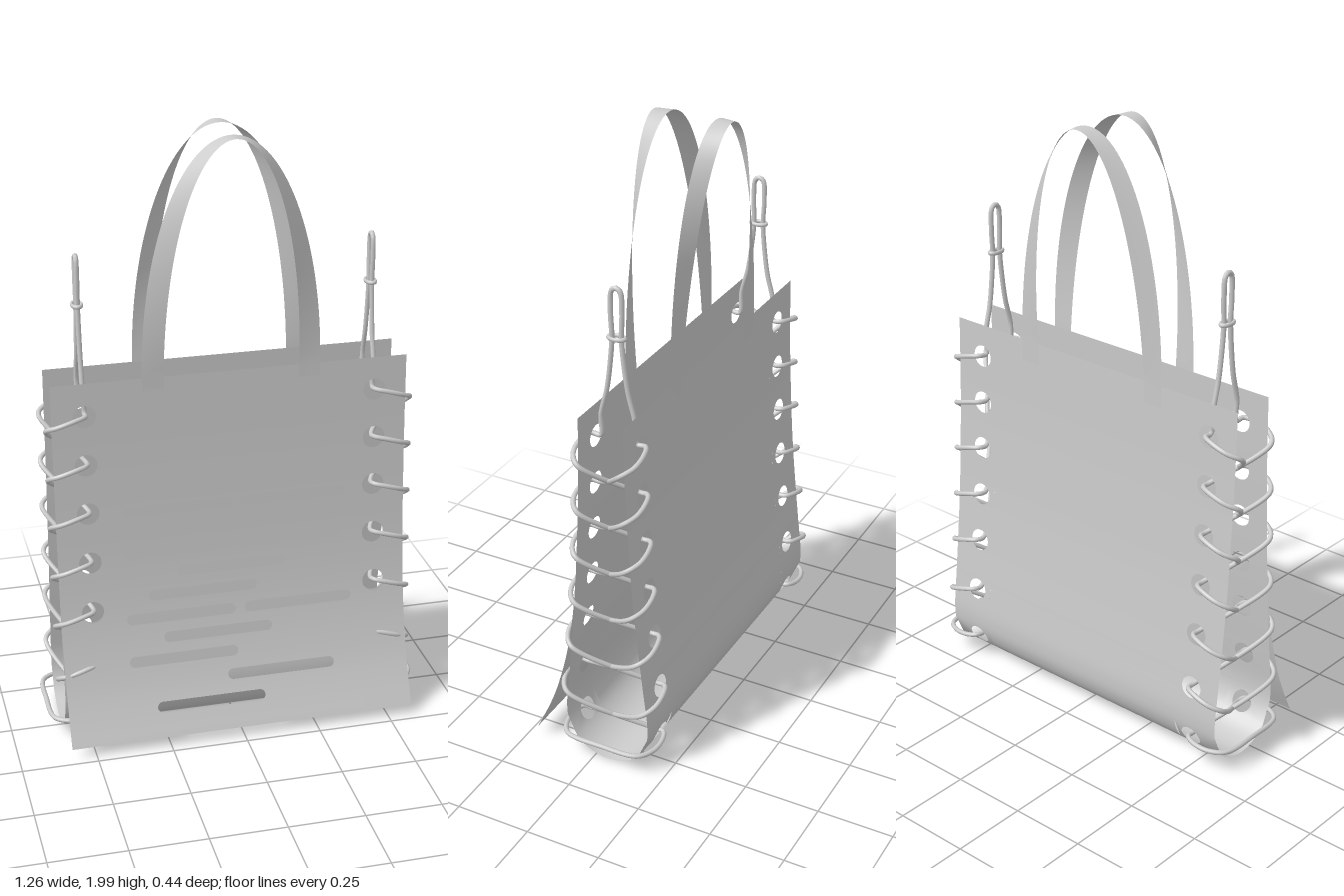
import * as THREE from 'three';
import { mergeGeometries } from 'three/addons/utils/BufferGeometryUtils.js';

const CZ = -0.045;          // z of the bag's middle plane
const HALF = 0.58;          // half width of the bag
const HOLE_X = 0.475, HOLE_R = 0.037, MARGIN = 0.415;
const LEVELS = [1.13, 0.965, 0.8, 0.63, 0.46, 0.275, 0.09];

const sheetMat = new THREE.MeshStandardMaterial({ color: 0xcccccc, side: THREE.DoubleSide });
const cordMat = new THREE.MeshStandardMaterial({ color: 0xcccccc });

function makeMesh(geometry, material, name) {
  const m = new THREE.Mesh(geometry, material);
  m.name = name;
  return m;
}

// Side profile through [y, z] points
function profile(points) {
  const c = new THREE.CatmullRomCurve3(points.map(([y, z]) => new THREE.Vector3(0, y, z)));
  c.arcLengthDivisions = 1000;
  return c;
}

// Distance along the descending front of a profile at height y
function lengthAtHeight(curve, y, uMax) {
  let a = 0, b = uMax;
  for (let i = 0; i < 30; i++) {
    const m = (a + b) / 2;
    if (curve.getPointAt(m).y > y) a = m; else b = m;
  }
  return a * curve.getLength();
}

// Rounded opening from xa to xb (a circle when xa equals xb)
function opening(xa, xb, s, r) {
  const p = new THREE.Path();
  p.absarc(xb, -s, r, -Math.PI / 2, Math.PI / 2, false);
  p.absarc(xa, -s, r, Math.PI / 2, Math.PI * 1.5, false);
  p.closePath();
  return p;
}

// Strip of sheet bent along a profile; rows = [{ s, r, spans: [[xa, xb], ...] }]
function strip(curve, x0, x1, rows) {
  const L = curve.getLength();
  const parts = [];
  const band = (a, b, holes) => {
    const shape = new THREE.Shape();
    shape.moveTo(x0, -b).lineTo(x1, -b).lineTo(x1, -a).lineTo(x0, -a).closePath();
    shape.holes.push(...holes);
    parts.push(new THREE.ShapeGeometry(shape, 10));
  };
  const plain = (a, b) => {
    const n = Math.max(1, Math.ceil((b - a) / 0.02));
    for (let i = 0; i < n; i++) band(a + (b - a) * i / n, a + (b - a) * (i + 1) / n, []);
  };
  let at = 0;
  for (const { s, r, spans } of [...rows].sort((p, q) => p.s - q.s)) {
    const h = r + 0.006;
    plain(at, s - h);
    band(s - h, s + h, spans.map(([a, b]) => opening(a, b, s, r)));
    at = s + h;
  }
  plain(at, L);
  const g = mergeGeometries(parts);
  const pos = g.attributes.position, nor = g.attributes.normal;
  for (let i = 0; i < pos.count; i++) {
    const u = THREE.MathUtils.clamp(-pos.getY(i) / L, 0, 1);
    const p = curve.getPointAt(u), t = curve.getTangentAt(u);
    pos.setXYZ(i, pos.getX(i), p.y, p.z);
    nor.setXYZ(i, 0, t.z, -t.y);
  }
  return g;
}

// Whole sheet: plain or slotted centre between two eyelet margins
function sheet(curve, eyelets, slots) {
  const rows = eyelets.map(s => ({ s, r: HOLE_R, x: HOLE_X }));
  const side = k => rows.map(({ s, r, x }) => ({ s, r, spans: [[k * x, k * x]] }));
  return mergeGeometries([
    strip(curve, -HALF, -MARGIN, side(-1)),
    strip(curve, -MARGIN, MARGIN, slots),
    strip(curve, MARGIN, HALF, side(1)),
  ]);
}

// Half depth of the bag by height
const WALL = [[1.24, 0.074], [1.0, 0.08], [0.8, 0.09], [0.63, 0.101], [0.46, 0.117], [0.3, 0.134],
  [0.17, 0.147], [0.11, 0.141], [0.06, 0.117], [0.022, 0.068]];
function halfDepth(y) {
  for (let i = 1; i < WALL.length; i++) {
    const [ya, wa] = WALL[i - 1], [yb, wb] = WALL[i];
    if (y >= yb) return wa + (wb - wa) * (ya - y) / (ya - yb);
  }
  return 0;
}

// Strap that is flat on the wall at its ends and twists level at the top
function strapGeometry(dir) {
  const pos = [], index = [], N = 64, base = 1.24;
  const z0 = CZ + dir * 0.077;
  const add = (c, s, drop) => {
    const y = base + 0.76 * s - drop;
    pos.push(0.29 * c, y, z0, 0.22 * c, y, z0 + dir * 0.054 * s);
  };
  add(1, 0, 0.07);
  for (let i = 0; i <= N; i++) add(Math.cos(Math.PI * i / N), Math.sin(Math.PI * i / N), 0);
  add(-1, 0, 0.07);
  for (let i = 0; i < N + 2; i++) {
    const a = 2 * i;
    if (dir > 0) index.push(a, a + 2, a + 1, a + 1, a + 2, a + 3);
    else index.push(a, a + 1, a + 2, a + 1, a + 3, a + 2);
  }
  const g = new THREE.BufferGeometry();
  g.setAttribute('position', new THREE.Float32BufferAttribute(pos, 3));
  g.setIndex(index);
  g.computeVertexNormals();
  return g;
}

// One end of a cord: down from the top loop, then crossing from wall to wall
function cordHalf(k, start) {
  const pts = [];
  const add = (x, y, z) => pts.push(new THREE.Vector3(k * x, y, CZ + z));
  for (const [y, d] of [[1.625, 0.014], [1.56, 0.019], [1.475, 0.016], [1.4, 0.022], [1.3, 0.036], [1.21, 0.058]])
    add(HOLE_X, y, start * d);
  LEVELS.forEach((y, i) => {
    const f = start * (i % 2 ? -1 : 1), w = halfDepth(y), last = i === LEVELS.length - 1;
    add(0.472, y + 0.005, f * (w - 0.015));
    add(0.475, y + 0.006, f * (w + 0.016));
    add(0.51, y, f * (w + 0.03));
    add(0.565, y - (last ? 0.004 : 0.018), f * (w + 0.027));
    add(last ? 0.612 : 0.598, y - (last ? 0.005 : 0.04), f * (w - 0.005));
  });
  return pts;
}

export function createModel() {
  const bag = new THREE.Group();
  bag.name = 'lacedToteBag';

  // Body: one sheet folded round the bottom
  const bodyCurve = profile([
    ...WALL.map(([y, w]) => [y, CZ + w]), [0.006, CZ],
    ...[...WALL].reverse().map(([y, w]) => [y, CZ - w]),
  ]);
  const bodyLen = bodyCurve.getLength();
  const front = LEVELS.map(y => lengthAtHeight(bodyCurve, y, 0.5));
  const bodyHoles = [...front, ...front.map(s => bodyLen - s)];
  bag.add(makeMesh(sheet(bodyCurve, bodyHoles, []), sheetMat, 'body'));

  // Front flap: lies on the wall, then flares forward
  const flapCurve = profile([[1.24, 0.031], [1.0, 0.037], [0.8, 0.047], [0.63, 0.059], [0.5, 0.074],
    [0.4, 0.091], [0.3, 0.115], [0.2, 0.146], [0.12, 0.179], [0.04, 0.217]]);
  const slotRows = [
    [1.08, -0.4, 0.03], [1.005, -0.22], [0.93, -0.34, 0.03], [0.86, -0.24], [0.79, -0.365, 0.02],
    [0.72, -0.36, 0.015], [0.645, -0.365, 0.005], [0.57, -0.19], [0.495, -0.29], [0.42, -0.365, 0.03],
    [0.35, -0.245], [0.28, -0.365], [0.205, -0.04], [0.13, -0.285],
  ];
  const r = 0.018;
  const slots = slotRows.map(([y, ...xs]) => ({
    s: lengthAtHeight(flapCurve, y, 1), r, spans: xs.map(x => [x + r, x + 0.365 - r]),
  }));
  const flapHoles = LEVELS.slice(0, 5).map(y => lengthAtHeight(flapCurve, y, 1));
  bag.add(makeMesh(sheet(flapCurve, flapHoles, slots), sheetMat, 'frontFlap'));

  // Carrying straps
  bag.add(makeMesh(strapGeometry(1), sheetMat, 'frontHandle'));
  bag.add(makeMesh(strapGeometry(-1), sheetMat, 'backHandle'));

  // Side lacing, each a single closed cord with a small knot near its top
  for (const [k, side] of [[1, 'left'], [-1, 'right']]) {
    const pts = [
      new THREE.Vector3(k * HOLE_X, 1.634, CZ),
      ...cordHalf(k, 1),
      new THREE.Vector3(k * 0.622, 0.085, CZ),
      ...cordHalf(k, -1).reverse(),
    ];
    const path = new THREE.CatmullRomCurve3(pts, true);
    path.arcLengthDivisions = 1500;
    bag.add(makeMesh(new THREE.TubeGeometry(path, 800, 0.008, 8, true), cordMat, side + 'Lace'));

    const knot = makeMesh(new THREE.TorusGeometry(0.022, 0.007, 8, 24), cordMat, side + 'LaceKnot');
    knot.rotation.x = Math.PI / 2;
    knot.scale.set(0.7, 1.15, 1);
    knot.position.set(k * HOLE_X, 1.475, CZ);
    bag.add(knot);
  }
  return bag;
}
